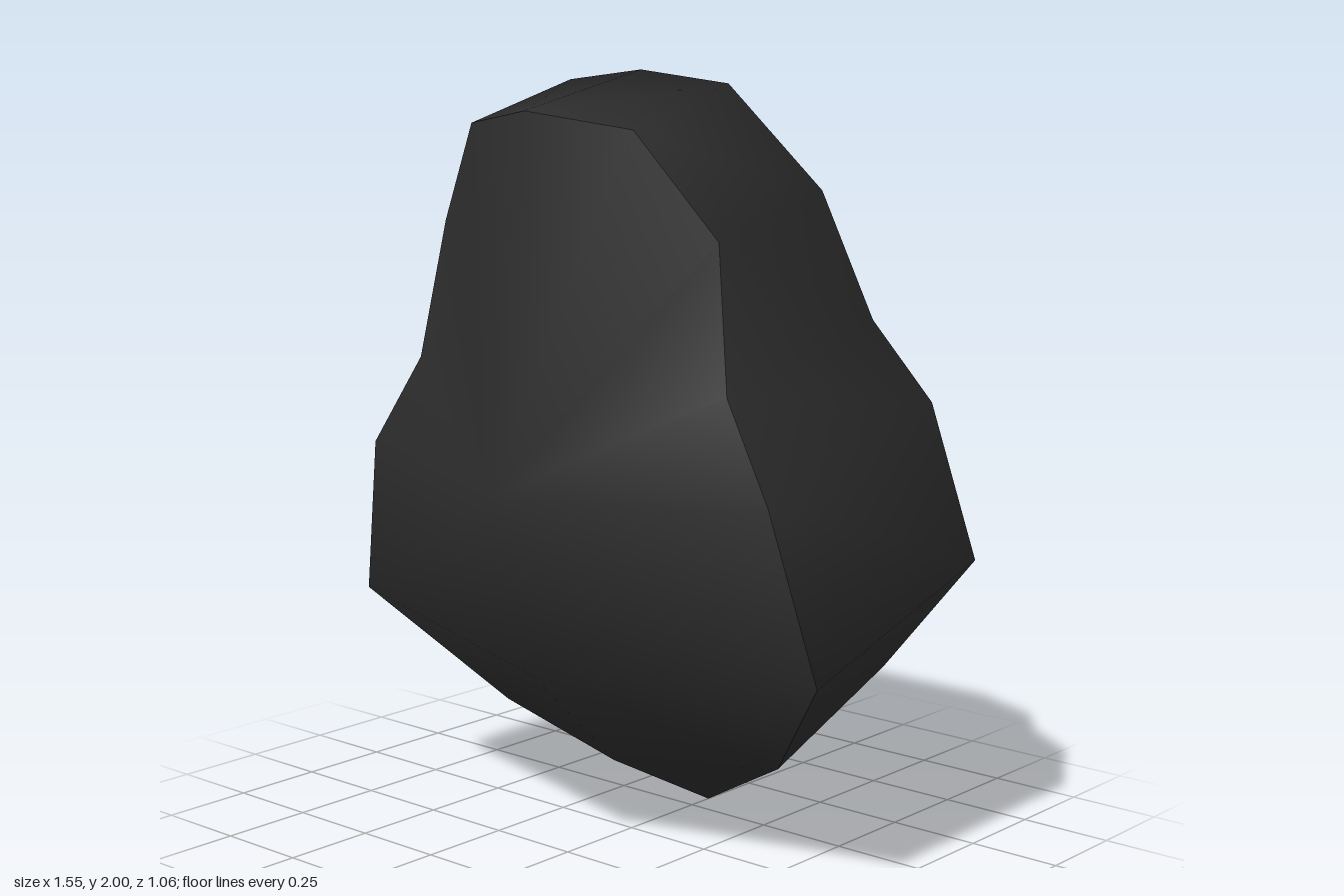
import * as THREE from 'three';
import { mergeVertices } from 'three/addons/utils/BufferGeometryUtils.js';

// Half outlines from top to bottom along +x; the other half is mirrored
const frontEdge = [
  [0, 1.91, 0.39], [0.27, 1.87, 0.30], [0.46, 1.61, 0.21], [0.52, 1.25, 0.25],
  [0.67, 1.01, 0.28], [0.775, 0.58, 0.22], [0.475, 0.265, -0.02], [0, 0.005, -0.32],
];
const backEdge = [
  [0, 2.0, -0.035], [0.265, 1.97, -0.06], [0.46, 1.71, -0.19], [0.52, 1.38, -0.33],
  [0.67, 1.18, -0.38], [0.775, 0.78, -0.435], [0.475, 0.44, -0.47], [0, 0.01, -0.48],
];
// Centre ridges, top to bottom
const frontRidge = [frontEdge[0], [0, 0.98, 0.53], [0, 0.5, 0.37], [0, 0.21, 0.07], frontEdge[7]];
const backRidge = [backEdge[0], [0, 1.25, -0.415], [0, 0.74, -0.53], [0, 0.42, -0.52], backEdge[7]];
// Ridge point that each outline point joins to
const ridgeOf = [0, 1, 1, 1, 1, 2, 3, 4];

// Add a triangle and its mirror image
function addTriangle(out, a, b, c) {
  if (a === b || b === c || a === c) return;
  const mirror = ([x, y, z]) => [-x, y, z];
  out.push(...a, ...b, ...c, ...mirror(a), ...mirror(c), ...mirror(b));
}

// Panel between an outline and its ridge
function addPanel(out, edge, ridge, flip) {
  const add = (a, b, c) => (flip ? addTriangle(out, a, c, b) : addTriangle(out, a, b, c));
  for (let i = 0; i < 7; i++) {
    const r = ridge[ridgeOf[i]], s = ridge[ridgeOf[i + 1]];
    add(edge[i], r, edge[i + 1]);
    add(r, s, edge[i + 1]);
  }
}

// Band joining the two outlines
function addRim(out) {
  for (let i = 0; i < 7; i++) {
    addTriangle(out, frontEdge[i], frontEdge[i + 1], backEdge[i + 1]);
    addTriangle(out, frontEdge[i], backEdge[i + 1], backEdge[i]);
  }
}

function smoothMesh(name, positions, material) {
  let geometry = new THREE.BufferGeometry();
  geometry.setAttribute('position', new THREE.Float32BufferAttribute(positions, 3));
  geometry = mergeVertices(geometry, 1e-4);
  geometry.computeVertexNormals();
  const mesh = new THREE.Mesh(geometry, material);
  mesh.name = name;
  return mesh;
}

export function createModel() {
  const group = new THREE.Group();
  group.name = 'facetedShell';
  const charcoal = new THREE.MeshStandardMaterial({ color: 0x2d2d2d });
  charcoal.name = 'charcoal';

  // Front plate has its own normals, so its border stays sharp
  const front = [];
  addPanel(front, frontEdge, frontRidge, false);
  group.add(smoothMesh('frontPlate', front, charcoal));

  // Sides and back flow together smoothly
  const body = [];
  addRim(body);
  addPanel(body, backEdge, backRidge, true);
  group.add(smoothMesh('sidesAndBack', body, charcoal));

  return group;
}
